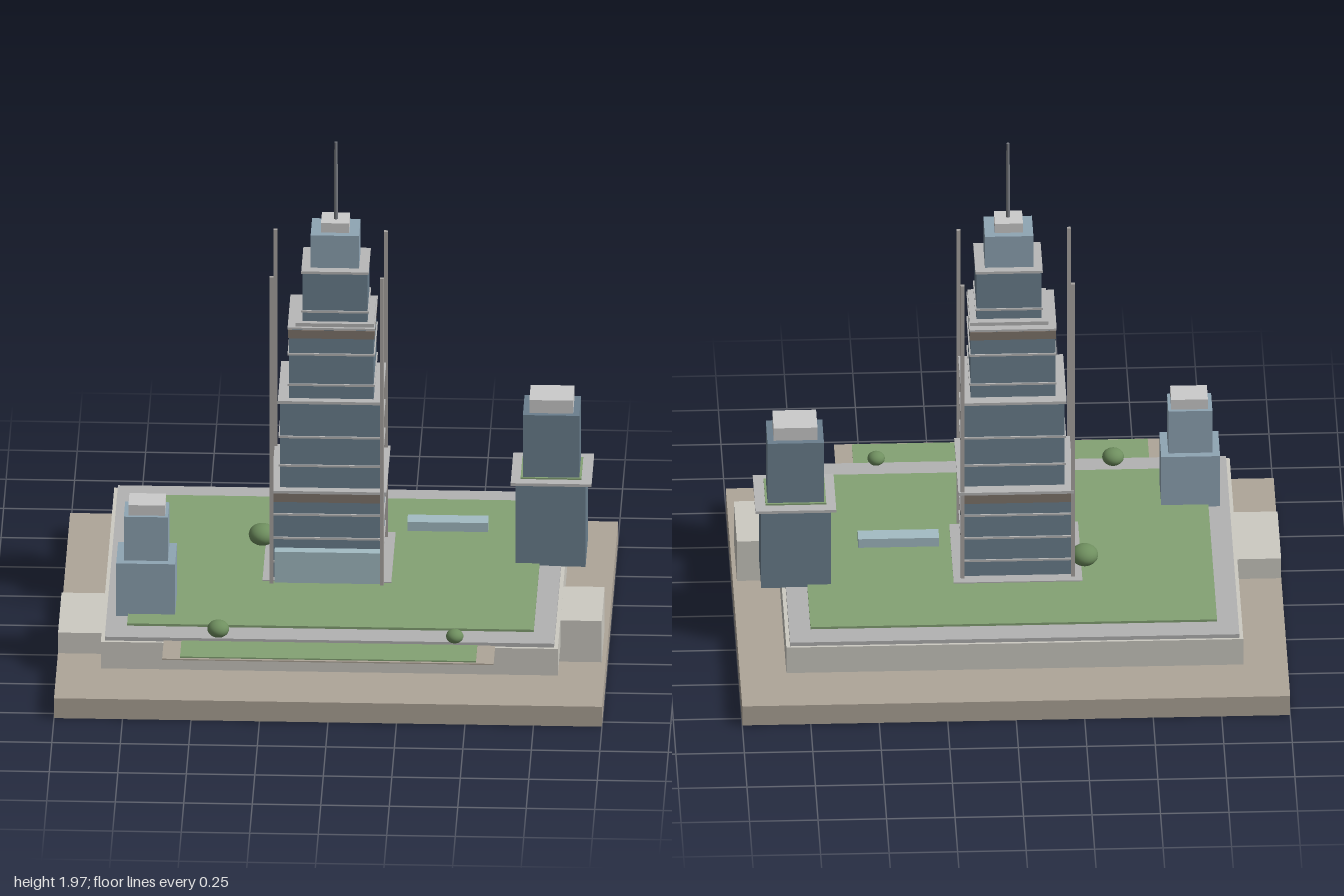
import * as THREE from 'three';

const paint = (color) => new THREE.MeshStandardMaterial({ color });

export function createModel() {
  const model = new THREE.Group();
  const mat = {
    base: paint(0xaea598), stone: paint(0xcccac2), paving: paint(0xb2b2b2),
    lawn: paint(0x84a274), darkGlass: paint(0x6b7f8e), paleGlass: paint(0x8fa5b4),
    lobby: paint(0xa3bcc4), trim: paint(0xb8b8b8), brown: paint(0x80756c),
    cap: paint(0xc0c1c2), metal: paint(0xa9a5a2), darkMetal: paint(0x777a80),
    leaf: paint(0x6f8f5f),
  };

  // Box given by its extents on each axis
  function block(parent, name, material, [x0, x1], [y0, y1], [z0, z1]) {
    const mesh = new THREE.Mesh(new THREE.BoxGeometry(x1 - x0, y1 - y0, z1 - z0), material);
    mesh.position.set((x0 + x1) / 2, (y0 + y1) / 2, (z0 + z1) / 2);
    mesh.name = name;
    parent.add(mesh);
    return mesh;
  }
  const grow = ([a, b], d) => [a - d, b + d];
  function group(name) {
    const g = new THREE.Group();
    g.name = name;
    model.add(g);
    return g;
  }

  // Site: ground plate, raised podium, lawns and side blocks
  const site = group('site');
  block(site, 'groundPlate', mat.base, [-1, 1], [0, 0.08], [-0.8, 0.79]);
  block(site, 'podium', mat.stone, [-0.834, 0.834], [0.14, 0.247], [-0.667, 0.655]);
  block(site, 'podiumPaving', mat.paving, [-0.82, 0.82], [0.247, 0.262], [-0.657, 0.643]);
  block(site, 'lawn', mat.lawn, [-0.742, 0.742], [0.262, 0.271], [-0.562, 0.545]);
  block(site, 'frontTerrace', mat.base, [-0.605, 0.605], [0.246, 0.251], [0.645, 0.8]);
  block(site, 'terraceLawn', mat.lawn, [-0.54, 0.54], [0.251, 0.256], [0.652, 0.79]);
  block(site, 'rightSideBlock', mat.stone, [-0.9995, -0.57], [0.001, 0.163], [0.06, 0.403]);
  block(site, 'leftSideBlock', mat.stone, [0.64, 0.985], [0.08, 0.246], [0.115, 0.408]);
  block(site, 'towerPad', mat.paving, [-0.262, 0.208], [0.27, 0.275], [-0.265, 0.163]);

  // Main tower: stepped tiers with projecting floor bands and roof ledges
  const tower = group('mainTower');
  const tiers = [
    { x: [-0.222, 0.17], z: [-0.218, 0.138], y: [0.265, 0.625], bands: [0.34, 0.435, 0.53], brown: [0.58, 0.618] },
    { x: [-0.2, 0.169], z: [-0.19, 0.133], y: [0.625, 0.982], bands: [0.725, 0.84] },
    { x: [-0.167, 0.142], z: [-0.155, 0.12], y: [0.982, 1.272], bands: [1.045, 1.168], brown: [1.232, 1.265] },
    { x: [-0.119, 0.119], z: [-0.103, 0.097], y: [1.272, 1.483], bands: [1.33] },
    { x: [-0.09, 0.087], z: [-0.08, 0.068], y: [1.483, 1.622], bands: [], pale: true },
  ];
  tiers.forEach(({ x, y, z, bands, brown, pale }) => {
    block(tower, 'tier', pale ? mat.paleGlass : mat.darkGlass, x, y, z);
    bands.forEach((h) =>
      block(tower, 'floorBand', mat.trim, grow(x, 0.005), [h - 0.004, h + 0.004], grow(z, 0.005)));
    if (brown) block(tower, 'mechanicalBand', mat.brown, grow(x, 0.003), brown, grow(z, 0.003));
  });
  block(tower, 'lowerLedge', mat.trim, [-0.232, 0.19], [0.625, 0.636], [-0.238, 0.165]);
  block(tower, 'middleLedge', mat.trim, [-0.207, 0.176], [0.979, 0.99], [-0.197, 0.148]);
  block(tower, 'upperLedge', mat.trim, [-0.143, 0.143], [1.27, 1.29], [-0.13, 0.115]);
  block(tower, 'tierThreeRoof', mat.trim, [-0.172, 0.147], [1.268, 1.276], [-0.16, 0.125]);
  block(tower, 'topLedge', mat.trim, [-0.123, 0.123], [1.482, 1.492], [-0.11, 0.102]);
  block(tower, 'roofCap', mat.cap, [-0.053, 0.05], [1.622, 1.66], [-0.053, 0.042]);
  block(tower, 'lobby', mat.lobby, [-0.218, 0.168], [0.268, 0.395], [0.13, 0.175]);

  const spire = new THREE.Mesh(new THREE.CylinderGeometry(0.006, 0.008, 0.31, 12), mat.darkMetal);
  spire.position.set(0, 1.813, 0);
  spire.name = 'spire';
  tower.add(spire);

  // Free-standing corner masts
  for (const x of [-0.229, 0.174])
    for (const z of [-0.228, 0.178])
      block(tower, 'cornerMast', mat.metal, grow([x, x], 0.007), [0.262, 1.505], grow([z, z], 0.007));

  // Tall side tower on the model's left
  const tall = group('leftTower');
  block(tall, 'lowerBlock', mat.darkGlass, [0.655, 0.91], [0.26, 0.587], [-0.252, -0.025]);
  block(tall, 'ledge', mat.trim, [0.637, 0.932], [0.587, 0.598], [-0.278, -0.013]);
  block(tall, 'ledgePlanting', mat.lawn, [0.672, 0.894], [0.598, 0.604], [-0.236, -0.05]);
  block(tall, 'upperBlock', mat.darkGlass, [0.68, 0.886], [0.598, 0.853], [-0.228, -0.056]);
  block(tall, 'roofCap', mat.cap, [0.703, 0.863], [0.853, 0.905], [-0.206, -0.075]);

  // Short side tower on the model's right
  const short = group('rightTower');
  block(short, 'lowerBlock', mat.paleGlass, [-0.785, -0.57], [0.26, 0.473], [0.278, 0.462]);
  block(short, 'upperBlock', mat.paleGlass, [-0.758, -0.597], [0.473, 0.649], [0.305, 0.435]);
  block(short, 'roofCap', mat.cap, [-0.742, -0.608], [0.649, 0.69], [0.318, 0.422]);

  // Glass bridge segment
  block(model, 'skyBridge', mat.lobby, [0.257, 0.552], [0.364, 0.4], [-0.152, -0.088]);

  // Rounded trees: x, y, z, radius
  const trees = group('trees');
  for (const [x, y, z, r] of [
    [-0.274, 0.314, -0.146, 0.05], [-0.407, 0.287, 0.611, 0.04], [0.457, 0.284, 0.637, 0.032],
  ]) {
    const tree = new THREE.Mesh(new THREE.SphereGeometry(r, 20, 14), mat.leaf);
    tree.scale.y = 0.8;
    tree.position.set(x, y, z);
    tree.name = 'tree';
    trees.add(tree);
  }

  return model;
}
